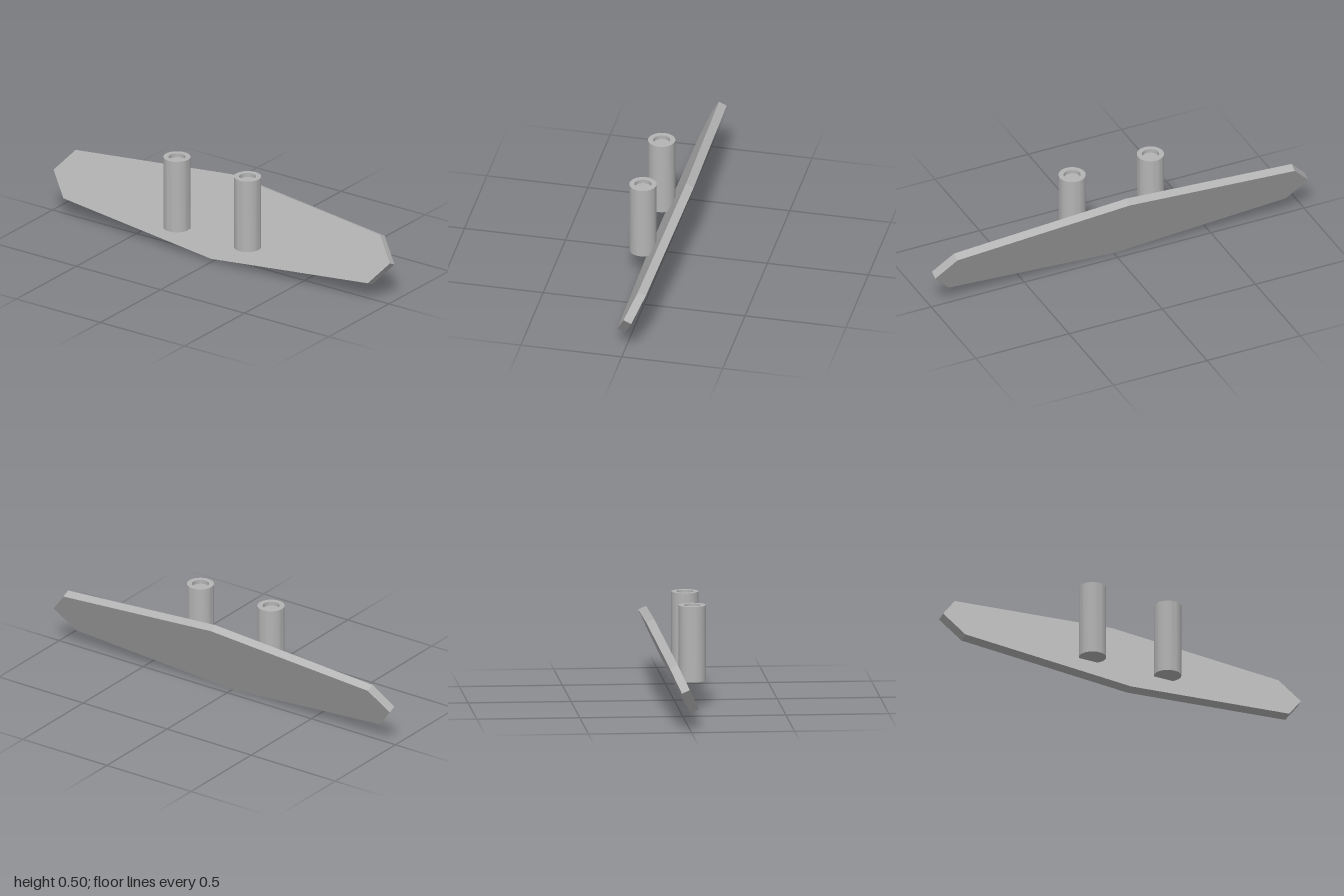
import * as THREE from 'three';
import { toCreasedNormals } from 'three/addons/utils/BufferGeometryUtils.js';

const THICKNESS = 0.042;

// Eight-sided tapered board, leaning back 25 degrees
function createBoard(material) {
  const outline = [
    [0, -0.211], [0.905, -0.121], [1, 0], [0.905, 0.121],
    [0, 0.211], [-0.905, 0.121], [-1, 0], [-0.905, -0.121],
  ];
  const shape = new THREE.Shape(outline.map(([x, y]) => new THREE.Vector2(x, y)));
  const geometry = new THREE.ExtrudeGeometry(shape, { depth: THICKNESS, bevelEnabled: false });
  geometry.translate(0, 0, -THICKNESS);
  const board = new THREE.Mesh(geometry, material);
  board.name = 'board';
  board.rotation.x = THREE.MathUtils.degToRad(-25);
  board.position.set(0, 0.209, -0.0085);
  return board;
}

// Upright round post with a recessed socket in its top
function createPost(material) {
  const radius = 0.066, bore = 0.041, height = 0.37, recess = 0.02;
  const profile = [
    [0, 0], [radius, 0], [radius, height],
    [bore, height], [bore, height - recess], [0, height - recess],
  ].map(([x, y]) => new THREE.Vector2(x, y));
  const geometry = toCreasedNormals(new THREE.LatheGeometry(profile, 48), Math.PI / 5);
  return new THREE.Mesh(geometry, material);
}

export function createModel() {
  const model = new THREE.Group();
  model.name = 'boardWithPosts';
  const grey = new THREE.MeshStandardMaterial({ color: 0xb4b4b4 });
  grey.name = 'grey';

  model.add(createBoard(grey));

  // Pair of posts on the front of the board
  for (const side of [-1, 1]) {
    const post = createPost(grey);
    post.name = side > 0 ? 'leftPost' : 'rightPost';
    post.position.set(side * 0.21, 0.129, 0.07);
    model.add(post);
  }
  return model;
}
